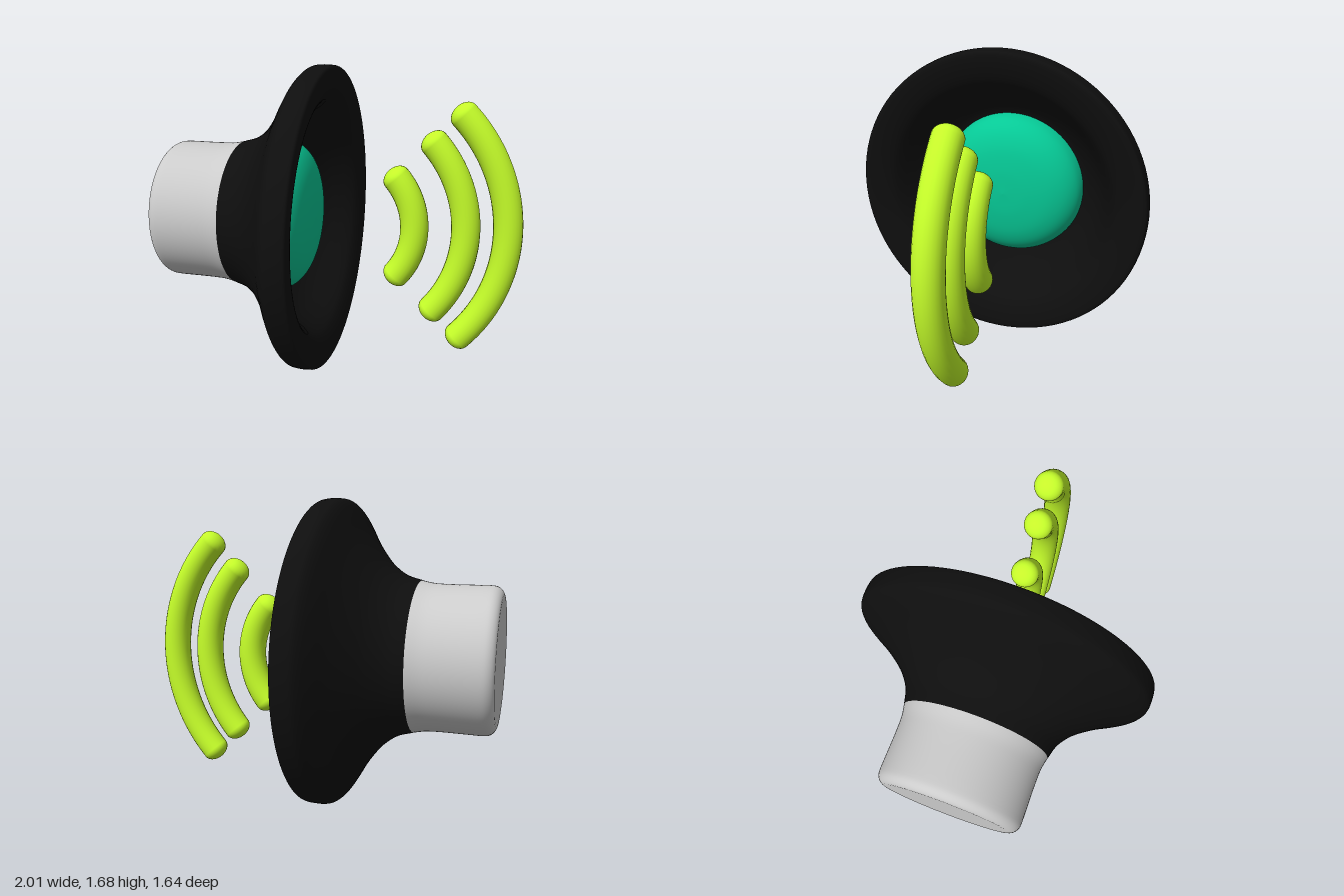
import * as THREE from 'three';

const TILT = -Math.PI / 12;

const material = (color) => new THREE.MeshStandardMaterial({ color });

// Profile points are [position along the axis, radius]
const smooth = (pts, n) =>
  new THREE.CatmullRomCurve3(pts.map(([s, r]) => new THREE.Vector3(r, s, 0)), false, 'centripetal')
    .getPoints(n)
    .map((p) => new THREE.Vector2(Math.max(p.x, 0), p.y));

// Revolve a profile around the x axis
function turned(name, profile, mat) {
  const geo = new THREE.LatheGeometry(profile, 96);
  geo.rotateZ(-Math.PI / 2);
  const mesh = new THREE.Mesh(geo, mat);
  mesh.name = name;
  return mesh;
}

// Bent bar with softly rounded ends
function soundWave(name, centre, radius, halfAngle, mat) {
  const tube = 0.077;
  const wave = new THREE.Group();
  wave.name = name;
  const bar = new THREE.TorusGeometry(radius, tube, 24, 48, halfAngle * 2);
  bar.rotateZ(-halfAngle);
  wave.add(new THREE.Mesh(bar, mat));
  for (const side of [1, -1]) {
    const cap = new THREE.SphereGeometry(tube, 24, 10, 0, Math.PI * 2, 0, Math.PI / 2);
    cap.scale(1, 0.75, 1);
    if (side < 0) cap.rotateX(Math.PI);
    const end = new THREE.Mesh(cap, mat);
    end.name = 'roundedEnd';
    const a = side * halfAngle;
    end.position.set(radius * Math.cos(a), radius * Math.sin(a), 0);
    end.rotation.z = a;
    wave.add(end);
  }
  wave.position.x = centre;
  wave.rotation.z = 0.02;
  return wave;
}

export function createModel() {
  const model = new THREE.Group();
  model.name = 'loudspeaker';

  const speaker = new THREE.Group();
  speaker.name = 'speaker';
  speaker.position.set(-0.003, 0.838, 0.014);
  speaker.rotation.y = TILT;
  model.add(speaker);

  // Rear housing: drum with a rounded back edge, flaring into the horn
  const housing = [new THREE.Vector2(0, -0.946), new THREE.Vector2(0.33, -0.946)];
  for (let i = 0; i <= 8; i++) {
    const a = (i / 8) * Math.PI / 2;
    housing.push(new THREE.Vector2(0.335 + 0.057 * Math.sin(a), -0.888 - 0.058 * Math.cos(a)));
  }
  housing.push(...smooth([[-0.87, 0.393], [-0.65, 0.393], [-0.58, 0.397], [-0.515, 0.41]], 16));
  speaker.add(turned('rearHousing', housing, material(0xcccccc)));

  // Horn: flared outside, broad rounded rim and a deep bowl inside
  const horn = smooth([
    [-0.52, 0.409], [-0.43, 0.437], [-0.35, 0.493], [-0.29, 0.56], [-0.22, 0.66],
    [-0.16, 0.765], [-0.13, 0.81], [-0.105, 0.832], [-0.08, 0.838], [-0.02, 0.838],
    [0, 0.833], [0.007, 0.82], [0.006, 0.78], [-0.004, 0.73], [-0.018, 0.69],
    [-0.036, 0.66], [-0.07, 0.63], [-0.12, 0.597], [-0.19, 0.55], [-0.25, 0.493],
    [-0.295, 0.42], [-0.31, 0],
  ], 126);
  speaker.add(turned('horn', horn, material(0x0e0e0e)));

  // Dome in the middle of the horn: shallow face with a rounded shoulder
  const dome = smooth([
    [-0.34, 0.427], [-0.28, 0.425], [-0.222, 0.407], [-0.17, 0.36],
    [-0.13, 0.28], [-0.105, 0.15], [-0.097, 0],
  ], 48);
  speaker.add(turned('dome', dome, material(0x06c996)));

  // Sound waves in front of the horn
  const waves = new THREE.Group();
  waves.name = 'soundWaves';
  waves.position.set(0, 0.801, -0.014);
  waves.rotation.y = TILT;
  const lime = material(0xc6ff2a);
  [
    ['innerWave', 0.033, 0.428, 0.7],
    ['middleWave', 0.022, 0.716, 0.718],
    ['outerWave', 0.056, 0.902, 0.758],
  ].forEach(([name, centre, radius, halfAngle]) =>
    waves.add(soundWave(name, centre, radius, halfAngle, lime)));
  model.add(waves);

  return model;
}
